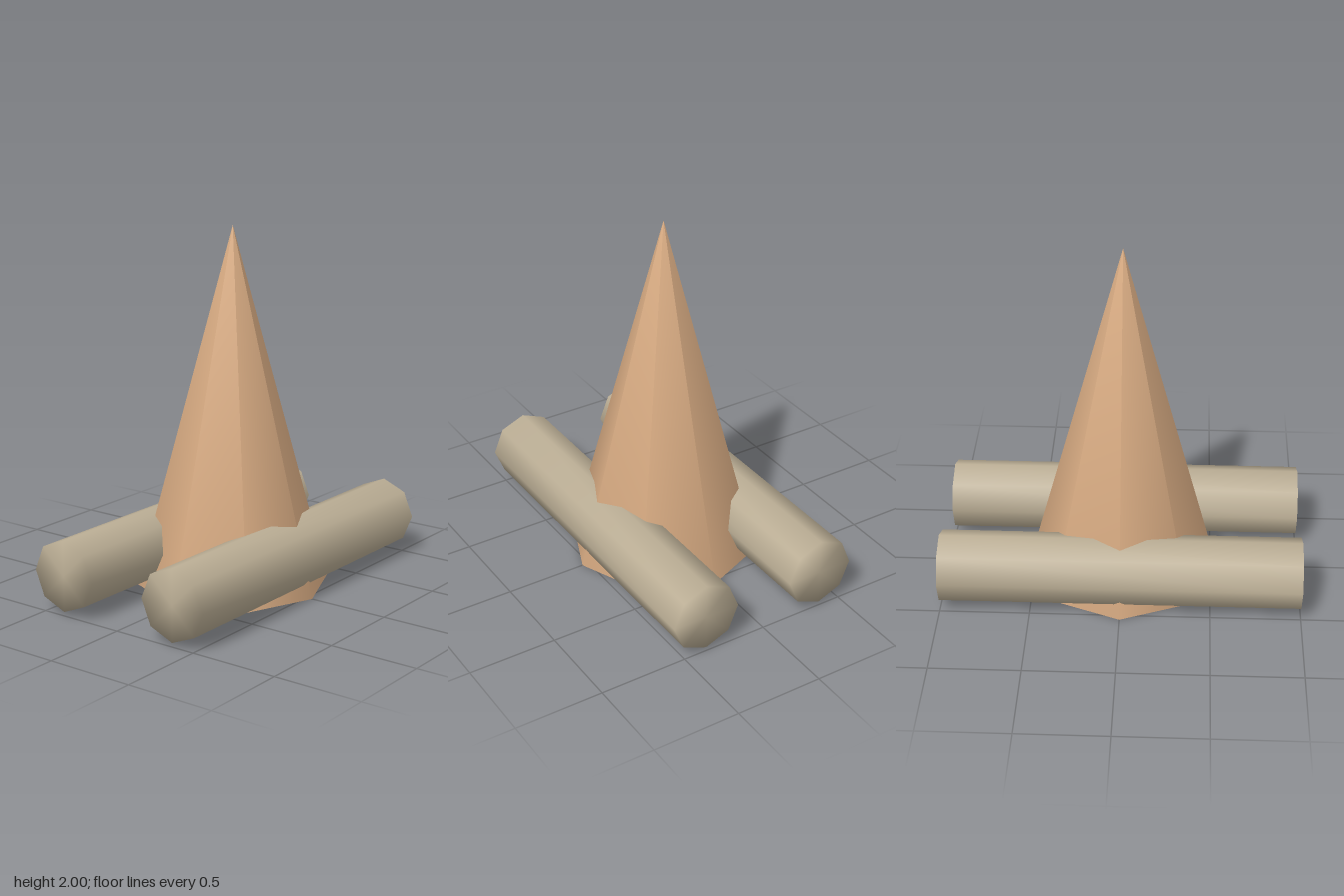
import * as THREE from 'three';
import { mergeVertices } from 'three/addons/utils/BufferGeometryUtils.js';

// Weld the caps to the sides so the shading rolls softly over the rims
function soften(geometry) {
  geometry.deleteAttribute('normal');
  geometry.deleteAttribute('uv');
  geometry.clearGroups();
  const welded = mergeVertices(geometry, 1e-4);
  welded.computeVertexNormals();
  return welded;
}

// Eight-sided spike: smooth at the base, faceted towards the tip
function spikeGeometry(radius, height) {
  const geo = soften(new THREE.ConeGeometry(radius, height, 8)).toNonIndexed();
  const facets = geo.clone();
  facets.computeVertexNormals();
  const pos = geo.attributes.position;
  const normal = geo.attributes.normal;
  const flat = facets.attributes.normal;
  for (let i = 0; i < pos.count; i++) {
    if (pos.getY(i) > height / 2 - 0.001) {
      normal.setXYZ(i, flat.getX(i), flat.getY(i), flat.getZ(i));
    }
  }
  return geo;
}

export function createModel() {
  const model = new THREE.Group();
  model.name = 'spikeOnLogs';

  const paleWood = new THREE.MeshStandardMaterial({ color: 0xdfb187 });
  paleWood.name = 'paleWood';
  const greyWood = new THREE.MeshStandardMaterial({ color: 0xbaad94 });
  greyWood.name = 'greyWood';

  // Central pointed stake
  const spike = new THREE.Mesh(spikeGeometry(0.54, 2), paleWood);
  spike.name = 'spike';
  spike.position.y = 1;
  model.add(spike);

  // Two logs lying crosswise through its base
  const logGeometry = soften(new THREE.CylinderGeometry(0.198, 0.198, 2, 8));
  for (const [name, z] of [['frontLog', 0.366], ['backLog', -0.366]]) {
    const log = new THREE.Mesh(logGeometry, greyWood);
    log.name = name;
    log.rotation.z = Math.PI / 2;
    log.position.set(0, 0.22, z);
    model.add(log);
  }

  return model;
}
